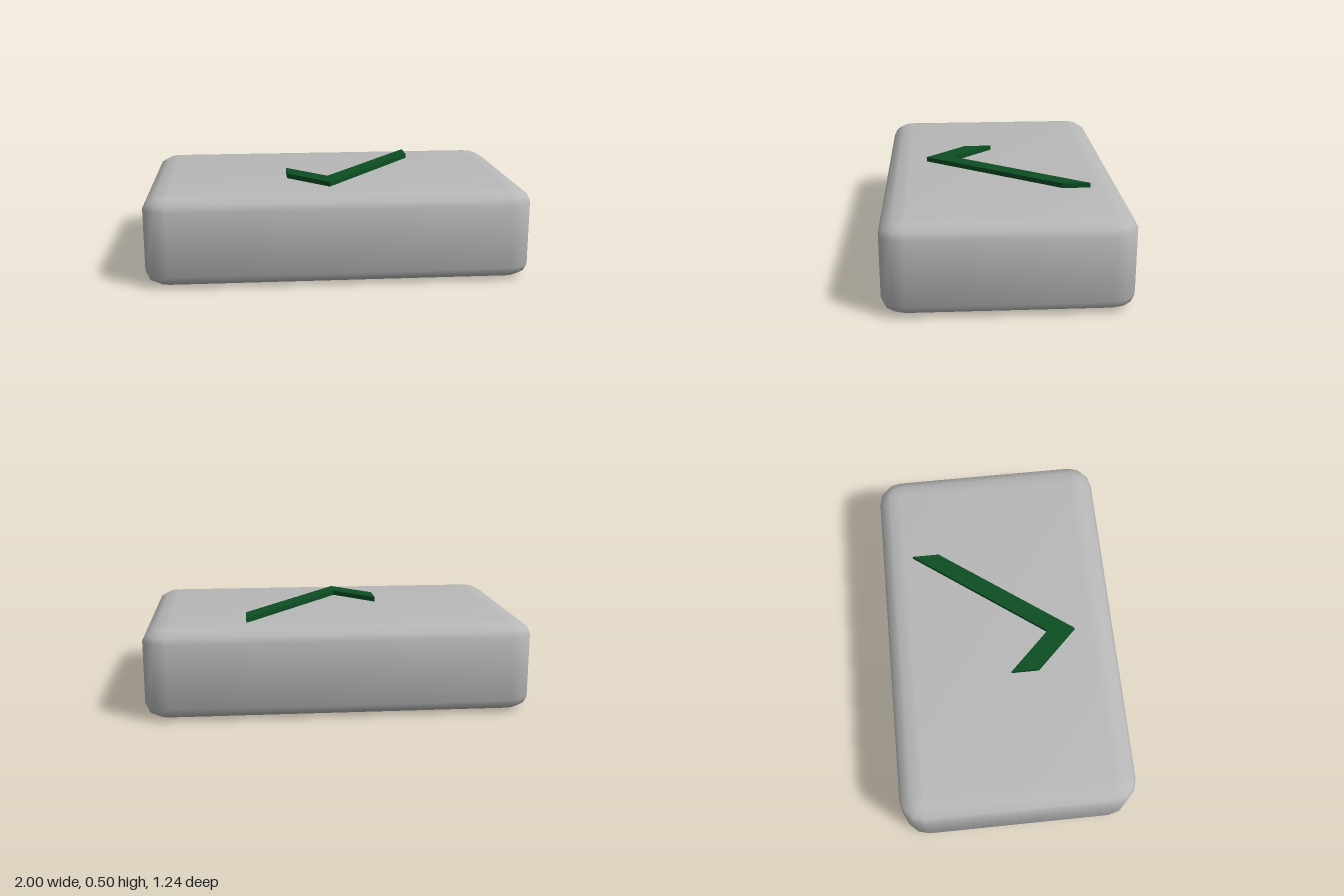
import * as THREE from 'three';

const rad = THREE.MathUtils.degToRad;

// Softly bevelled slab: stacked rounded-rectangle rings, each corner in three steps
function slabGeometry(halfX, halfZ, height, radius, bevelY) {
  const arc = [0, 30, 60, 90];         // bevel angles
  const tilt = [13, 43, 71, 86];       // shading angle of each bevel row
  const turn = [7.5, 30, 60, 82.5];    // shading angle around each corner
  const rows = [3, 2, 1, 0].map(i => [-1, i]).concat([0, 1, 2, 3].map(i => [1, i]));
  const corners = [[1, 1], [-1, 1], [-1, -1], [1, -1]];
  const cx = halfX - radius, cz = halfZ - radius;
  const pos = [], nor = [], index = [];

  for (const [side, i] of rows) {
    const r = radius * Math.cos(rad(arc[i]));
    const y = height / 2 + side * (height / 2 - bevelY + bevelY * Math.sin(rad(arc[i])));
    corners.forEach(([sx, sz], c) => {
      for (let k = 0; k < 4; k++) {
        const a = rad(c * 90 + arc[k]), n = rad(c * 90 + turn[k]), t = rad(tilt[i]);
        pos.push(sx * cx + r * Math.cos(a), y, sz * cz + r * Math.sin(a));
        nor.push(Math.cos(t) * Math.cos(n), side * Math.sin(t), Math.cos(t) * Math.sin(n));
      }
    });
  }
  // Walls and bevels; corner steps close to a point on the first and last ring
  for (let j = 0; j < 7; j++) {
    for (let k = 0; k < 16; k++) {
      const a = j * 16 + k, b = j * 16 + (k + 1) % 16, c = a + 16, d = b + 16;
      const atCorner = k % 4 !== 3;
      if (!(j === 0 && atCorner)) index.push(a, c, b);
      if (!(j === 6 && atCorner)) index.push(b, c, d);
    }
  }
  // Flat bottom and top
  const top = 7 * 16;
  index.push(1, 5, 9, 1, 9, 13);
  index.push(top + 1, top + 9, top + 5, top + 1, top + 13, top + 9);

  const g = new THREE.BufferGeometry();
  g.setAttribute('position', new THREE.Float32BufferAttribute(pos, 3));
  g.setAttribute('normal', new THREE.Float32BufferAttribute(nor, 3));
  g.setIndex(index);
  return g;
}

export function createModel() {
  const model = new THREE.Group();
  const grey = new THREE.MeshStandardMaterial({ color: 0xb8b8b8 });
  grey.name = 'light grey';
  const green = new THREE.MeshStandardMaterial({ color: 0x0d4d22 });
  green.name = 'dark green';

  const body = new THREE.Mesh(slabGeometry(1, 0.62, 0.47, 0.125, 0.07), grey);
  body.name = 'buttonBody';
  model.add(body);

  // Raised tick on the top face
  const outline = [[-0.255, 0.03], [-0.04, 0.25], [0.475, -0.45], [0.475, -0.305], [-0.04, 0.4], [-0.255, 0.18]];
  const shape = new THREE.Shape(outline.map(([x, z]) => new THREE.Vector2(x, -z)));
  const tickGeometry = new THREE.ExtrudeGeometry(shape, { depth: 0.035, bevelEnabled: false });
  tickGeometry.rotateX(-Math.PI / 2);
  const tick = new THREE.Mesh(tickGeometry, green);
  tick.name = 'checkMark';
  tick.position.y = 0.46;
  model.add(tick);

  return model;
}
